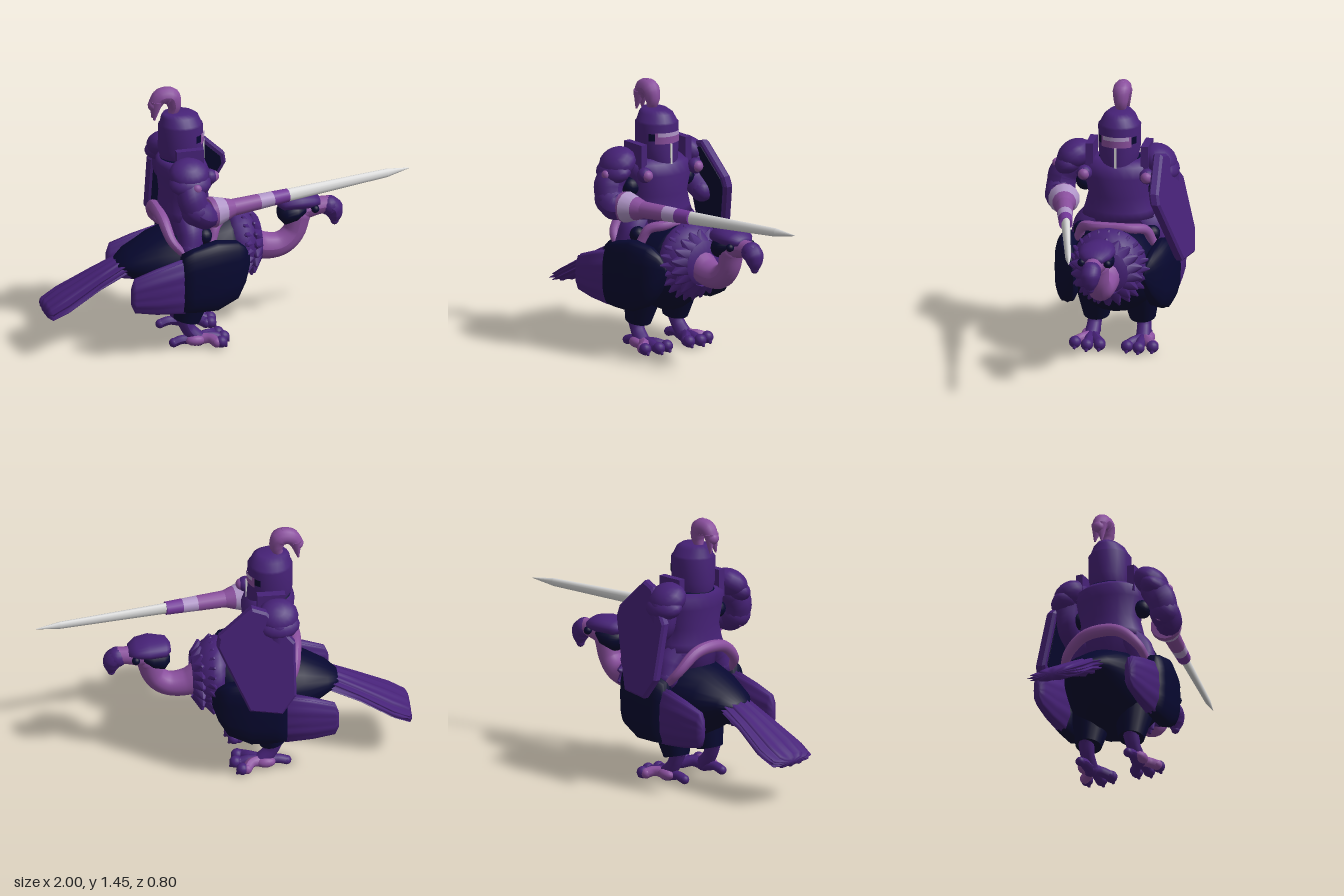
import * as THREE from 'three';

const mat = (name, color) => { const m = new THREE.MeshStandardMaterial({ color }); m.name = name; return m; };
const V = (p) => new THREE.Vector3(...p);
const power = (v, e) => Math.sign(v) * Math.abs(v) ** e;

export function createModel() {
  const navy = mat('navy feathers', 0x070830), purple = mat('armour purple', 0x472278);
  const pink = mat('mauve skin', 0x8a4f9e), lavender = mat('lavender', 0xb096c8);
  const violet = mat('violet stripe', 0x74389a), silver = mat('silver', 0xd9d9d9);
  const root = new THREE.Group();

  const add = (name, geo, m, parent = root) => {
    const mesh = new THREE.Mesh(geo, m);
    mesh.name = name;
    parent.add(mesh);
    return mesh;
  };
  const group = (name) => { const g = new THREE.Group(); g.name = name; root.add(g); return g; };

  // Rounded sections stacked along x: [x, y, ry, rz, z], or along y: [y, x, rx, rz, z]; boxy < 1 squares them
  function loft(axis, rings, ridge = 0, n = 24, boxy = 1) {
    const pos = [], idx = [];
    const put = (s, c, z) => axis === 'x' ? pos.push(s, c, z) : pos.push(c, s, z);
    rings.forEach(([s, c, r, rz, z = 0]) => {
      for (let j = 0; j < n; j++) {
        const a = j / n * Math.PI * 2 * (axis === 'x' ? 1 : -1);
        const p = power(Math.cos(a), boxy), q = power(Math.sin(a), boxy);
        put(s, c + r * p * (1 + ridge * Math.cos(14 * q)), z + rz * q * (1 + ridge * Math.cos(14 * p)));
      }
    });
    for (let i = 0; i < rings.length - 1; i++) for (let j = 0; j < n; j++) {
      const a = i * n + j, b = i * n + (j + 1) % n;
      idx.push(a, b, a + n, b, b + n, a + n);
    }
    // End caps
    const last = (rings.length - 1) * n, k = pos.length / 3;
    for (const r of [rings[0], rings[rings.length - 1]]) put(r[0], r[1], r[4] || 0);
    for (let j = 0; j < n; j++) {
      const t = (j + 1) % n;
      idx.push(k, t, j, k + 1, last + j, last + t);
    }
    const g = new THREE.BufferGeometry();
    g.setAttribute('position', new THREE.Float32BufferAttribute(pos, 3));
    g.setIndex(idx);
    g.computeVertexNormals();
    return g;
  }

  const ball = (name, p, r, m, parent, s = [1, 1, 1]) => {
    const b = add(name, new THREE.SphereGeometry(r, 16, 10), m, parent);
    b.position.set(...p);
    b.scale.set(...s);
    return b;
  };
  // Straight tapered rod from a to b
  const rod = (name, a, b, r0, r1, m, parent, sides = 14) => {
    const d = V(b).sub(V(a));
    const c = add(name, new THREE.CylinderGeometry(r1, r0, d.length(), sides), m, parent);
    c.position.copy(V(a).addScaledVector(d, 0.5));
    c.quaternion.setFromUnitVectors(new THREE.Vector3(0, 1, 0), d.normalize());
    return c;
  };
  // Curved tube whose radius follows a list, with rounded ends
  const taper = (name, pts, radii, m, parent, sides = 12) => {
    const curve = new THREE.CatmullRomCurve3(pts.map(V)), seg = (pts.length - 1) * 6;
    const g = new THREE.TubeGeometry(curve, seg, 1, sides), p = g.attributes.position, v = new THREE.Vector3();
    for (let i = 0; i < p.count; i++) {
      const u = Math.floor(i / (sides + 1)) / seg, f = u * (radii.length - 1);
      const k = Math.min(Math.floor(f), radii.length - 2), c = curve.getPointAt(u);
      v.fromBufferAttribute(p, i).sub(c).multiplyScalar(THREE.MathUtils.lerp(radii[k], radii[k + 1], f - k)).add(c);
      p.setXYZ(i, v.x, v.y, v.z);
    }
    g.computeVertexNormals();
    add(name, g, m, parent);
    ball(name + 'Start', pts[0], radii[0], m, parent);
    ball(name + 'End', pts[pts.length - 1], radii[radii.length - 1], m, parent);
  };

  // ---- Bird ----
  const bird = group('bird');
  add('body', loft('x', [[-0.61, 0.46, 0.03, 0.07], [-0.55, 0.47, 0.07, 0.13], [-0.42, 0.46, 0.16, 0.19],
    [-0.28, 0.45, 0.22, 0.23], [-0.1, 0.465, 0.245, 0.24], [-0.01, 0.495, 0.22, 0.215], [0.04, 0.515, 0.185, 0.175],
    [0.09, 0.53, 0.1, 0.11]]), navy, bird);
  add('tail', loft('x', [[-1, 0.235, 0.02, 0.1], [-0.985, 0.24, 0.033, 0.135], [-0.9, 0.285, 0.04, 0.145],
    [-0.72, 0.385, 0.04, 0.115], [-0.52, 0.48, 0.05, 0.09]], 0.15, 48), purple, bird);

  // Ruff of broad pointed feathers around the neck base
  add('ruff', loft('x', [[-0.01, 0.545, 0.17, 0.17], [0.03, 0.545, 0.19, 0.2], [0.07, 0.54, 0.19, 0.2], [0.12, 0.535, 0.165, 0.17],
    [0.15, 0.53, 0.125, 0.13], [0.17, 0.52, 0.07, 0.08]]), purple, bird);
  for (const [count, reach, x0, x1] of [[24, 0.222, 0.1, 0.06], [18, 0.195, 0.13, 0.125]])
    for (let i = 0; i < count; i++) {
      const a = i / count * Math.PI * 2, c = Math.cos(a), s = Math.sin(a);
      rod('ruffFeather', [x0, 0.53 + c * 0.12, s * 0.12],
        [x1, 0.53 + c * reach * (c > 0 ? 0.92 : 1), s * reach], 0.05, 0.006, purple, bird, 6);
    }
  taper('neck', [[0.1, 0.53, 0], [0.2, 0.485, 0], [0.3, 0.485, 0], [0.37, 0.54, 0], [0.4, 0.64, 0]],
    [0.09, 0.075, 0.066, 0.06, 0.065], pink, bird, 16);
  add('cheeks', loft('x', [[0.29, 0.66, 0.03, 0.04], [0.32, 0.66, 0.065, 0.08], [0.38, 0.67, 0.055, 0.09],
    [0.43, 0.68, 0.03, 0.06]]), navy, bird);
  add('crown', loft('x', [[0.285, 0.72, 0.02, 0.04], [0.31, 0.725, 0.045, 0.08], [0.4, 0.73, 0.05, 0.1],
    [0.47, 0.725, 0.042, 0.085], [0.51, 0.715, 0.025, 0.05]]), purple, bird);
  taper('face', [[0.42, 0.67, 0], [0.5, 0.68, 0], [0.565, 0.685, 0]], [0.06, 0.05, 0.045], pink, bird);
  taper('beak', [[0.57, 0.675, 0], [0.59, 0.66, 0], [0.6, 0.62, 0], [0.6, 0.585, 0]],
    [0.055, 0.053, 0.042, 0.022], purple, bird);

  for (const s of [1, -1]) {
    const side = s > 0 ? 'right' : 'left';
    ball(side + 'Eye', [0.475, 0.69, s * 0.07], 0.022, navy, bird);
    // Folded wing with ridged flight feathers behind
    add(side + 'WingShoulder', loft('x', [[-0.31, 0.42, 0.165, 0.055, s * 0.265], [-0.25, 0.43, 0.18, 0.062, s * 0.265],
      [-0.12, 0.445, 0.195, 0.068, s * 0.26], [0, 0.46, 0.16, 0.06, s * 0.24], [0.05, 0.475, 0.1, 0.035, s * 0.215],
      [0.08, 0.49, 0.03, 0.01, s * 0.195]], 0.02, 40, 0.75), navy, bird);
    add(side + 'WingFeathers', loft('x', [[-0.59, 0.37, 0.05, 0.015, s * 0.265], [-0.57, 0.375, 0.095, 0.035, s * 0.265],
      [-0.45, 0.385, 0.125, 0.045, s * 0.265], [-0.3, 0.4, 0.15, 0.055, s * 0.262]], 0.05, 48, 0.85), purple, bird);
    // Leg and clawed foot
    rod(side + 'Thigh', [-0.25, 0.15, s * 0.125], [-0.19, 0.42, s * 0.12], 0.07, 0.13, navy, bird, 18);
    taper(side + 'Shank', [[-0.27, 0.18, s * 0.13], [-0.24, 0.1, s * 0.135], [-0.19, 0.045, s * 0.14]],
      [0.045, 0.038, 0.042], purple, bird);
    ball(side + 'FootPad', [-0.21, 0.045, s * 0.165], 0.038, pink, bird, [1.4, 0.8, 0.9]);
    [[-0.06, 0.075], [-0.045, 0.14], [-0.075, 0.21]].forEach(([x, z], i) => {
      taper(side + 'Toe', [[-0.2, 0.04, s * 0.14], [-0.13, 0.05, s * (0.07 + z / 2)], [x - 0.03, 0.038, s * z]],
        [0.036, 0.028, 0.028], i === 2 ? pink : purple, bird, 8);
      ball(side + 'ToeTip', [x - 0.005, 0.04, s * z], 0.033, purple, bird);
      rod(side + 'Claw', [x, 0.04, s * z], [x + 0.025, 0.01, s * z], 0.026, 0.006, purple, bird, 8);
    });
    taper(side + 'BackToe', [[-0.2, 0.04, s * 0.14], [-0.28, 0.045, s * 0.14], [-0.325, 0.032, s * 0.14]],
      [0.036, 0.026, 0.025], purple, bird, 8);
  }

  // ---- Saddle ----
  const saddle = group('saddle');
  taper('cantle', [[-0.29, 0.57, 0.235], [-0.35, 0.64, 0.21], [-0.375, 0.73, 0.11], [-0.38, 0.75, 0],
    [-0.375, 0.73, -0.11], [-0.35, 0.64, -0.21], [-0.29, 0.57, -0.235]], [0.02, 0.03, 0.034, 0.03, 0.02], pink, saddle);
  taper('pommel', [[-0.13, 0.62, 0.2], [-0.1, 0.69, 0.17], [-0.05, 0.71, 0.1], [-0.04, 0.715, 0],
    [-0.05, 0.71, -0.1], [-0.1, 0.69, -0.17], [-0.13, 0.62, -0.2]], [0.025, 0.027, 0.025, 0.027, 0.025], pink, saddle);

  // ---- Rider ----
  const rider = group('rider');
  add('breastplate', loft('y', [[0.6, -0.25, 0.1, 0.12], [0.725, -0.24, 0.12, 0.15], [0.73, -0.235, 0.14, 0.2],
    [0.77, -0.235, 0.135, 0.185], [0.85, -0.235, 0.13, 0.165], [0.96, -0.235, 0.14, 0.19], [1.02, -0.25, 0.13, 0.19],
    [1.045, -0.26, 0.1, 0.14]]), purple, rider);
  add('gorget', loft('y', [[1.01, -0.26, 0.11, 0.13], [1.05, -0.26, 0.1, 0.11]]), navy, rider);
  add('helmet', loft('y', [[0.99, -0.235, 0.105, 0.08], [1.03, -0.24, 0.118, 0.1], [1.1, -0.25, 0.122, 0.112],
    [1.23, -0.25, 0.12, 0.115], [1.24, -0.25, 0.112, 0.105], [1.28, -0.255, 0.1, 0.085], [1.3, -0.265, 0.08, 0.06]]), purple, rider);
  // Curved visor plates just proud of the helmet front
  const visor = (name, y, h, arc, r, m) => {
    const p = add(name, new THREE.CylinderGeometry(r, r, h, 12, 1, true, Math.PI / 2 - arc, arc * 2), m, rider);
    p.position.set(-0.25, y, 0);
    p.scale.z = 0.95;
  };
  visor('visorShade', 1.165, 0.04, 1.05, 0.1235, navy);
  visor('visorSurround', 1.16, 0.06, 0.75, 0.125, pink);
  visor('visorSlit', 1.18, 0.022, 0.62, 0.128, lavender);
  add('nasalBar', new THREE.BoxGeometry(0.009, 0.13, 0.012), silver, rider).position.set(-0.124, 1.065, 0);
  // Plume with split trailing tips
  taper('plume', [[-0.3, 1.28, 0], [-0.285, 1.34, 0], [-0.305, 1.395, 0], [-0.36, 1.395, 0], [-0.395, 1.35, 0]],
    [0.02, 0.038, 0.048, 0.045, 0.035], pink, rider);
  for (const z of [-0.02, 0.02])
    rod('plumeTip', [-0.385, 1.37, z * 0.5], [-0.4, 1.27, z], 0.035, 0.005, pink, rider, 8);
  rod('plumeCrest', [-0.31, 1.39, 0], [-0.325, 1.445, 0], 0.045, 0.012, pink, rider, 8);

  for (const s of [1, -1]) {
    const side = s > 0 ? 'right' : 'left';
    const inset = s > 0 ? 0 : 0.035;
    ball(side + 'Pauldron', [-0.27, 1.035, s * (0.25 - inset)], 0.1, purple, rider, [1.1, 0.75, 1]).rotation.x = s * 0.6;
    ball(side + 'PauldronPlate', [-0.27, 0.995, s * (0.275 - inset)], 0.1, purple, rider, [1.15, 0.62, 0.85]).rotation.x = s * 0.5;
    add(side + 'NeckGuard', new THREE.BoxGeometry(0.15, 0.15, 0.04), purple, rider).position.set(-0.24, 1.06, s * 0.15);
    ball(side + 'Armpit', [-0.24, 0.9, s * 0.185], 0.05, navy, rider);
    ball(side + 'RivetBase', [-0.135, 0.98, s * 0.17], 0.042, purple, rider);
    ball(side + 'Rivet', [-0.115, 0.98, s * 0.17], 0.032, pink, rider);
    taper(side + 'Thigh', [[-0.25, 0.72, s * 0.12], [-0.24, 0.66, s * 0.17], [-0.25, 0.59, s * 0.2]],
      [0.075, 0.075, 0.065], purple, rider);
    ball(side + 'KneeGuard', [-0.17, 0.65, s * 0.19], 0.045, navy, rider);
  }
  ball('armBuckle', [-0.25, 0.985, 0.345], 0.026, pink, rider, [1, 1, 0.8]);
  taper('lanceUpperArm', [[-0.27, 0.98, 0.27], [-0.27, 0.92, 0.31], [-0.25, 0.85, 0.32]], [0.075, 0.08, 0.075], purple, rider);
  taper('lanceForearm', [[-0.25, 0.85, 0.32], [-0.2, 0.82, 0.32], [-0.15, 0.82, 0.29]], [0.08, 0.075, 0.06], purple, rider);
  taper('shieldArm', [[-0.27, 0.99, -0.24], [-0.26, 0.88, -0.25], [-0.18, 0.82, -0.25]], [0.075, 0.07, 0.06], purple, rider);

  // ---- Lance, in bands along its axis, with a flattened blade ----
  const lance = group('lance');
  const along = (x) => { const t = (x + 0.18) / 1.18; return [x, 0.82 + 0.04 * t, 0.29 - 0.25 * t]; };
  [['butt', -0.3, -0.15, 0.03, 0.03, pink], ['guardRim', -0.17, -0.145, 0.08, 0.085, pink],
    ['handGuard', -0.145, -0.08, 0.085, 0.064, lavender],
    ['guardNeck', -0.08, -0.03, 0.064, 0.046, pink], ['grip', -0.03, 0.12, 0.046, 0.042, pink],
    ['stripe', 0.12, 0.2, 0.042, 0.039, lavender], ['stripe', 0.2, 0.29, 0.039, 0.036, violet],
    ['blade', 0.29, 0.87, 0.035, 0.023, silver, 0.65], ['bladePoint', 0.87, 1, 0.023, 0.002, silver, 0.65],
  ].forEach(([n, a, b, r0, r1, m, flat = 1]) => { rod(n, along(a), along(b), r0, r1, m, lance).scale.z = flat; });

  // ---- Shield: bevelled plate sheared so that it leans outward at the bottom and back ----
  const outline = [[0.05, 0.89], [0.04, 0.94], [-0.13, 1.1], [-0.2, 1.08], [-0.34, 0.92], [-0.34, 0.63], [-0.27, 0.53], [-0.11, 0.54]];
  const panel = (name, scale, z, depth, bevel, m) => {
    const shape = new THREE.Shape(outline.map(([x, y]) => new THREE.Vector2(-0.15 + (x + 0.15) * scale, 0.82 + (y - 0.82) * scale)));
    const g = new THREE.ExtrudeGeometry(shape, { depth, bevelSize: bevel, bevelThickness: bevel, bevelSegments: 1 });
    const q = g.attributes.position;
    for (let i = 0; i < q.count; i++)
      q.setZ(i, q.getZ(i) + z + 0.15 * (q.getX(i) + 0.14) + 0.22 * (q.getY(i) - 1.1));
    g.computeVertexNormals();
    add(name, g, m);
  };
  panel('shield', 1, -0.247, 0.03, 0.012, purple);
  panel('shieldLining', 0.92, -0.203, 0.003, 0.001, navy);

  return root;
}
